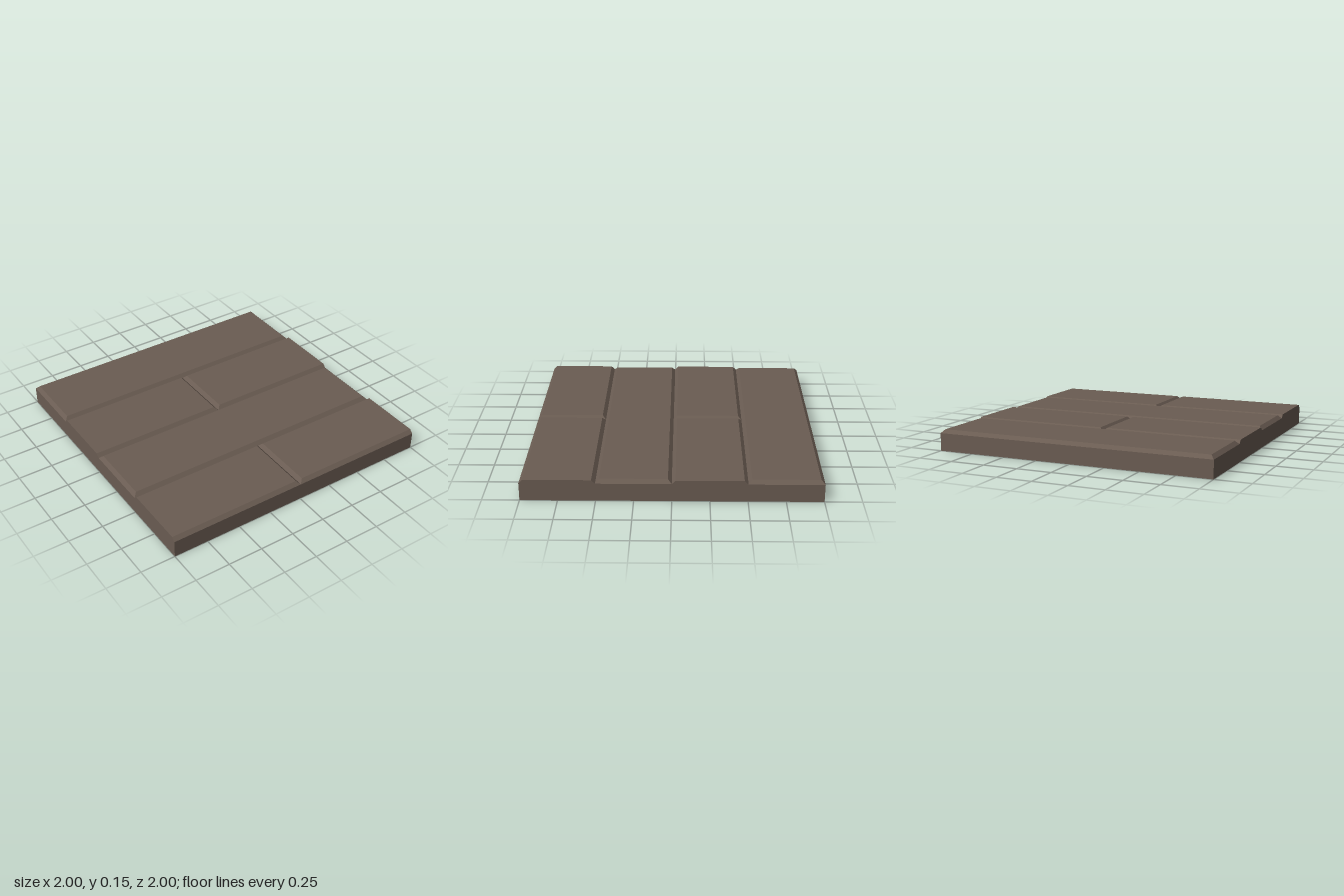
import * as THREE from 'three';

const TOP = 0.15, GROOVE = 0.125, BEVEL = 0.025;

// Rectangular loop of corners, counter-clockwise seen from above
const ring = (x0, x1, z0, z1, y) => [[x0, y, z1], [x1, y, z1], [x1, y, z0], [x0, y, z0]];

// Flat-sided skin between two loops, optionally closed on top
function skin(lower, upper, capped) {
  const pos = [];
  const quad = (a, b, c, d) => pos.push(...a, ...b, ...c, ...a, ...c, ...d);
  for (let i = 0; i < 4; i++) {
    const j = (i + 1) % 4;
    quad(lower[i], lower[j], upper[j], upper[i]);
  }
  if (capped) quad(...upper);
  const geo = new THREE.BufferGeometry();
  geo.setAttribute('position', new THREE.Float32BufferAttribute(pos, 3));
  geo.computeVertexNormals();
  return geo;
}

export function createModel() {
  const group = new THREE.Group();
  const stone = new THREE.MeshStandardMaterial({ color: 0x6a5c52, side: THREE.DoubleSide });
  stone.name = 'brown stone';

  const add = (name, geo) => {
    const mesh = new THREE.Mesh(geo, stone);
    mesh.name = name;
    group.add(mesh);
  };

  // Outer rim, open underneath
  add('sideWalls', skin(ring(-1, 1, -1, 1, 0), ring(-1, 1, -1, 1, GROOVE), false));

  // Slab with bevelled edges; a bevel of 0 leaves that end upright
  const slab = (name, x0, x1, z0, left, right) => add(name, skin(
    ring(x0, x1, z0, z0 + 0.5, GROOVE),
    ring(x0 + left, x1 - right, z0 + BEVEL, z0 + 0.5 - BEVEL, TOP), true));

  // Rows alternate between one full slab and two half slabs
  for (let row = 0; row < 4; row++) {
    const z0 = -1 + row * 0.5;
    if (row % 2 === 0) {
      slab('fullSlab', -1, 1, z0, BEVEL, BEVEL);
    } else {
      slab('halfSlabRight', -1, 0, z0, 0, BEVEL);
      slab('halfSlabLeft', 0, 1, z0, BEVEL, 0);
    }
  }
  return group;
}
